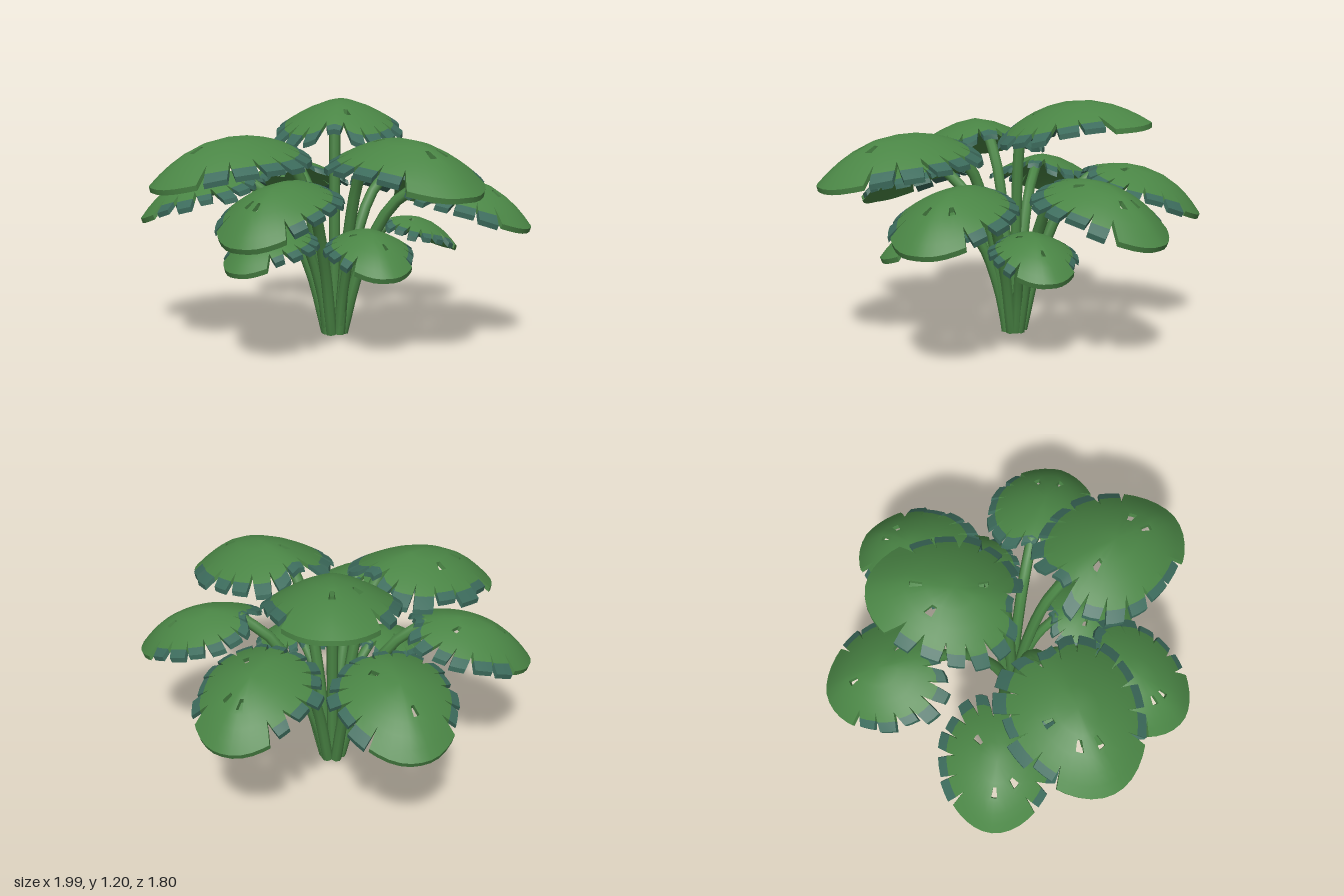
import * as THREE from 'three';
import { toCreasedNormals } from 'three/addons/utils/BufferGeometryUtils.js';

const leafGreen = new THREE.MeshStandardMaterial({ name: 'leafGreen', color: 0x4a8545 });
const edgeTeal = new THREE.MeshStandardMaterial({ name: 'edgeTeal', color: 0x3c6b5c });
const stemGreen = new THREE.MeshStandardMaterial({ name: 'stemGreen', color: 0x4a8545 });

const V = (x, y, z) => new THREE.Vector3(x, y, z);
const STEP = Math.PI / 18;
const RINGS = [0, 0.3, 0.55, 0.72, 0.86, 1];
const CUT = 0.72; // notches start at this ring
const THICK = 0.025;
const isNotch = (k) => k >= 5 && k <= 31 && k % 2 === 1;

// base and tip of each leaf, its width, and the spokes on which its holes lie
const LEAVES = [
  ['topLeaf', [0, 1.04, 0], [-0.05, 1.1, -0.72], 0.66, [0, 6, 20]],
  ['upperLeftLeaf', [0.17, 0.99, 0.16], [0.71, 0.82, 0.68], 0.68, [3, 20, 35]],
  ['upperRightLeaf', [-0.17, 0.99, 0.15], [-0.76, 0.82, 0.59], 0.68, [1, 27, 33]],
  ['middleRightLeaf', [-0.41, 0.82, 0], [-1, 0.6, 0.05], 0.57, [0, 5, 23]],
  ['middleLeftLeaf', [0.41, 0.82, -0.02], [0.99, 0.6, 0.06], 0.57, [4, 34]],
  ['middleFrontLeaf', [-0.07, 0.84, 0.36], [-0.27, 0.6, 0.89], 0.55, [0, 33]],
  ['backRightLeaf', [-0.24, 0.84, -0.35], [-0.46, 0.6, -0.89], 0.59, [1, 22]],
  ['backLeftLeaf', [0.22, 0.84, -0.34], [0.43, 0.6, -0.89], 0.58, [1, 22, 33]],
  ['lowRightLeaf', [-0.16, 0.58, 0.14], [-0.38, 0.42, 0.55], 0.42, [2, 24]],
  ['lowLeftLeaf', [0.15, 0.58, 0.14], [0.35, 0.42, 0.55], 0.42, [2, 24]],
  ['lowBackLeaf', [0.24, 0.58, -0.17], [0.58, 0.42, -0.42], 0.41, [0, 22]],
];

function seeded(seed) {
  let s = seed * 7919 + 17;
  return () => (s = (s * 16807) % 2147483647) / 2147483647;
}

// domed, notched blade lying along +z, closed below with a thin rim
function bladeGeometry(length, width, holes, seed) {
  const rand = seeded(seed);
  for (let i = 0; i < 5; i++) rand();
  const fingers = Array.from({ length: 13 }, () => 0.8 + 0.38 * rand());
  const gaps = Array.from({ length: 36 }, () => 0.03 + 0.06 * rand());
  const isFinger = (cell) => cell >= 5 && cell < 31;

  const surface = (x, z) => {
    const t = z / length, s = Math.abs(x) / (width / 2);
    return 0.72 * length * t * (1 - t) - 0.22 * width * Math.pow(s, 1.6);
  };
  // cell tells which side of a notch the corner belongs to
  const corner = (ring, k, cell) => {
    let r = RINGS[ring], phi = k * STEP;
    if (r > CUT) {
      if (isNotch(k)) phi += (cell === k ? 1 : -1) * gaps[k] * (r - CUT) / (1 - CUT);
      if (isFinger(cell)) r = CUT + (r - CUT) * fingers[Math.floor((cell - 5) / 2)];
    }
    const c = Math.cos(phi), back = Math.max(0, -c);
    const sinus = 1 - 0.18 * Math.pow(back, 25); // dent where the stem joins
    const z = length * (0.43 + r * sinus * c * (c > 0 ? 0.57 : 0.5));
    const x = r * Math.sin(phi) * (width / 2) * (1 + 0.08 * back - 0.1 * Math.max(0, c));
    return V(x, surface(x, z), z);
  };

  const top = [[], []]; // green triangles, teal triangles
  const same = (a, b) => a.distanceToSquared(b) < 1e-10;
  const tri = (m, a, b, c) => {
    if (!same(a, b) && !same(b, c) && !same(a, c)) top[m].push([a, b, c]);
  };
  const quad = (m, a, b, c, d) => { tri(m, a, b, c); tri(m, a, c, d); };

  // each hole replaces two neighbouring cells of the second ring
  const holeCells = new Set(holes.flatMap((k) => [(k + 35) % 36, k]));
  for (let ring = 0; ring < RINGS.length - 1; ring++) {
    for (let k = 0; k < 36; k++) {
      if (ring === 1 && holeCells.has(k)) continue;
      const teal = ring === 4 && isFinger(k) ? 1 : 0;
      quad(teal, corner(ring, k, k), corner(ring + 1, k, k),
        corner(ring + 1, k + 1, k), corner(ring, k + 1, k));
    }
  }
  holes.forEach((k) => {
    const outer = [[1, -1], [2, -1], [2, 0], [2, 1], [1, 1], [1, 0]].map(([r, d]) => corner(r, k + d, k + d));
    const mid = V(0, 0, 0);
    outer.forEach((p) => mid.addScaledVector(p, 1 / 6));
    const inner = outer.map((p) => p.clone().lerp(mid, 0.42));
    outer.forEach((p, i) => quad(0, p, outer[(i + 1) % 6], inner[(i + 1) % 6], inner[i]));
  });

  // open edges of the upper face get a rim
  const key = (p) => p.toArray().map((n) => Math.round(n * 1e4) + 0).join(',');
  const edges = new Set();
  top.flat().forEach((t) => t.forEach((p, i) => edges.add(key(p) + '|' + key(t[(i + 1) % 3]))));
  const low = (p) => V(p.x, p.y - THICK, p.z);
  const geo = new THREE.BufferGeometry();
  const pos = [];
  top.forEach((list, m) => {
    const start = pos.length / 3;
    const put = (...ps) => ps.forEach((p) => pos.push(p.x, p.y, p.z));
    list.forEach((t) => {
      put(...t);
      put(low(t[0]), low(t[2]), low(t[1]));
      t.forEach((a, i) => {
        const b = t[(i + 1) % 3];
        if (edges.has(key(b) + '|' + key(a))) return;
        put(a, low(a), low(b), a, low(b), b);
      });
    });
    geo.addGroup(start, pos.length / 3 - start, m);
  });
  geo.setAttribute('position', new THREE.Float32BufferAttribute(pos, 3));
  return toCreasedNormals(geo, 0.6);
}

// stem rising from the root clump and bending out under its leaf
function makeStem(end, radius) {
  const flat = V(end.x, 0, end.z);
  const root = V(0, 0.01, -0.035);
  if (flat.length() > 0.1) root.addScaledVector(flat.clone().normalize(), 0.042);
  const at = (out, up) => V(root.x + (end.x - root.x) * out, end.y * up, root.z + (end.z - root.z) * out);
  const curve = new THREE.CatmullRomCurve3([root, at(0.2, 0.42), at(0.58, 0.83), end]);
  const group = new THREE.Group();
  group.name = 'stem';
  const tube = new THREE.Mesh(new THREE.TubeGeometry(curve, 10, radius, 8), stemGreen);
  tube.name = 'stalk';
  const cap = new THREE.Mesh(new THREE.CircleGeometry(radius, 8), stemGreen);
  cap.name = 'stalkFoot';
  cap.position.copy(root);
  cap.quaternion.setFromUnitVectors(V(0, 0, 1), curve.getTangent(0).negate());
  group.add(tube, cap);
  return group;
}

export function createModel() {
  const model = new THREE.Group();
  model.name = 'broadLeafPlant';
  LEAVES.forEach(([name, b, t, width, holes], i) => {
    const base = V(...b), axis = V(...t).sub(base);
    const length = axis.length();
    axis.normalize();
    const side = V(0, 1, 0).cross(axis).normalize();
    const up = axis.clone().cross(side);

    const leaf = new THREE.Mesh(bladeGeometry(length, width, holes, i + 1), [leafGreen, edgeTeal]);
    leaf.name = name;
    leaf.quaternion.setFromRotationMatrix(new THREE.Matrix4().makeBasis(side, up, axis));
    leaf.position.copy(base);

    const end = base.clone().addScaledVector(axis, 0.1 * length).addScaledVector(up, 0.03 * length);
    model.add(leaf, makeStem(end, width > 0.5 ? 0.029 : 0.025));
  });
  return model;
}
